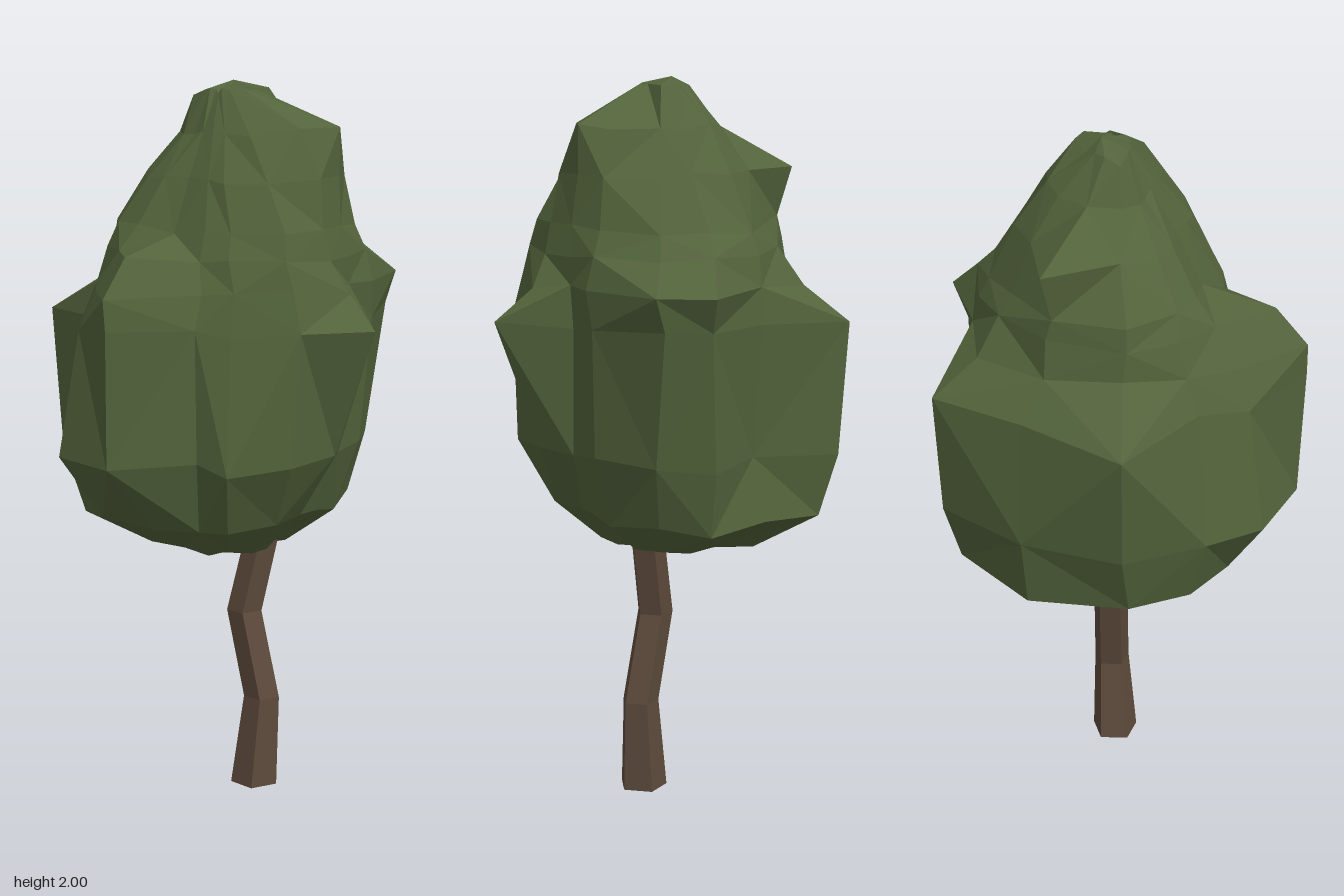
import * as THREE from 'three';

const leafGreen = new THREE.MeshStandardMaterial({ color: 0x53633b });
const barkBrown = new THREE.MeshStandardMaterial({ color: 0x5e4b3c });

// Small seeded generator, returns -1..1
function makeNoise(seed) {
  return () => {
    seed = (seed * 16807) % 2147483647;
    return (seed / 2147483647) * 2 - 1;
  };
}

// Faceted skin over closed rings of points, closed by a pole at each end
function loft(rings, bottom, top) {
  const n = rings[0].length;
  const rows = [Array(n).fill(bottom), ...rings, Array(n).fill(top)];
  const pos = [];
  const tri = (...pts) => pts.forEach((p) => pos.push(p.x, p.y, p.z));
  for (let i = 0; i < rows.length - 1; i++) {
    for (let j = 0; j < n; j++) {
      const k = (j + 1) % n;
      const a = rows[i][j], b = rows[i][k], c = rows[i + 1][k], d = rows[i + 1][j];
      if (i === 0) tri(a, d, c);
      else if (i === rows.length - 2) tri(a, c, b);
      else if ((i + j) % 2) { tri(a, d, c); tri(a, c, b); }
      else { tri(a, d, b); tri(d, c, b); }
    }
  }
  const g = new THREE.BufferGeometry();
  g.setAttribute('position', new THREE.Float32BufferAttribute(pos, 3));
  g.computeVertexNormals();
  return g;
}

// Crown: ridge and groove directions in degrees, from +x round by the front (+z)
const crownAngles = [3, 28, 52, 66, 91, 119, 140, 169, 205, 239, 265, 289, 306, 332, 347];

// Height, then the radius in each direction
const crownRings = [
  [0.82, [0.27, 0.31, 0.33, 0.31, 0.32, 0.37, 0.38, 0.42, 0.44, 0.47, 0.41, 0.44, 0.39, 0.32, 0.29]],
  [1.00, [0.39, 0.41, 0.42, 0.37, 0.50, 0.49, 0.44, 0.48, 0.47, 0.52, 0.38, 0.47, 0.44, 0.39, 0.35]],
  [1.36, [0.52, 0.42, 0.37, 0.36, 0.51, 0.43, 0.38, 0.53, 0.44, 0.54, 0.41, 0.49, 0.51, 0.42, 0.37]],
  [1.46, [0.42, 0.39, 0.35, 0.33, 0.51, 0.38, 0.34, 0.33, 0.35, 0.41, 0.40, 0.54, 0.53, 0.42, 0.37]],
  [1.55, [0.37, 0.37, 0.32, 0.29, 0.42, 0.31, 0.31, 0.32, 0.33, 0.34, 0.38, 0.44, 0.43, 0.40, 0.37]],
  [1.61, [0.35, 0.35, 0.29, 0.25, 0.22, 0.25, 0.28, 0.31, 0.32, 0.30, 0.35, 0.38, 0.38, 0.37, 0.35]],
  [1.75, [0.33, 0.28, 0.22, 0.18, 0.15, 0.17, 0.20, 0.22, 0.36, 0.25, 0.28, 0.29, 0.30, 0.34, 0.34]],
  [1.87, [0.27, 0.18, 0.12, 0.09, 0.08, 0.08, 0.10, 0.12, 0.15, 0.17, 0.19, 0.22, 0.22, 0.29, 0.34]],
  [1.97, [0.07, 0.05, 0.03, 0.03, 0.02, 0.03, 0.04, 0.08, 0.07, 0.07, 0.09, 0.13, 0.14, 0.09, 0.08]],
];

function crownGeometry() {
  const noise = makeNoise(77);
  const underside = [0.72, crownRings[0][1].map((r) => r * 0.58)];
  const rings = [underside, ...crownRings].map(([y, radii]) =>
    radii.map((r, j) => {
      const a = THREE.MathUtils.degToRad(crownAngles[j] + noise() * 2);
      return new THREE.Vector3(Math.cos(a) * r, y + noise() * 0.014, Math.sin(a) * r);
    }));
  return loft(rings, new THREE.Vector3(-0.04, 0.67, 0), new THREE.Vector3(0.01, 2, -0.05));
}

// Trunk: five-sided, bending stem given as x, y, z, radius
const trunkPath = [
  [0.098, 0, -0.033, 0.069],
  [0.115, 0.26, -0.045, 0.053],
  [0.06, 0.51, -0.038, 0.052],
  [0.1, 0.72, -0.062, 0.05],
  [0.13, 0.9, -0.08, 0.045],
];

function trunkGeometry() {
  const rings = trunkPath.map(([x, y, z, r]) =>
    Array.from({ length: 5 }, (_, j) => {
      const a = (j / 5) * Math.PI * 2 - 0.12;
      return new THREE.Vector3(x + Math.cos(a) * r, y, z + Math.sin(a) * r);
    }));
  const centre = ([x, y, z]) => new THREE.Vector3(x, y, z);
  return loft(rings, centre(trunkPath[0]), centre(trunkPath[trunkPath.length - 1]));
}

export function createModel() {
  const tree = new THREE.Group();
  tree.name = 'tree';
  const add = (name, geometry, material) => {
    const mesh = new THREE.Mesh(geometry, material);
    mesh.name = name;
    tree.add(mesh);
  };
  add('trunk', trunkGeometry(), barkBrown);
  add('leafCrown', crownGeometry(), leafGreen);
  return tree;
}
